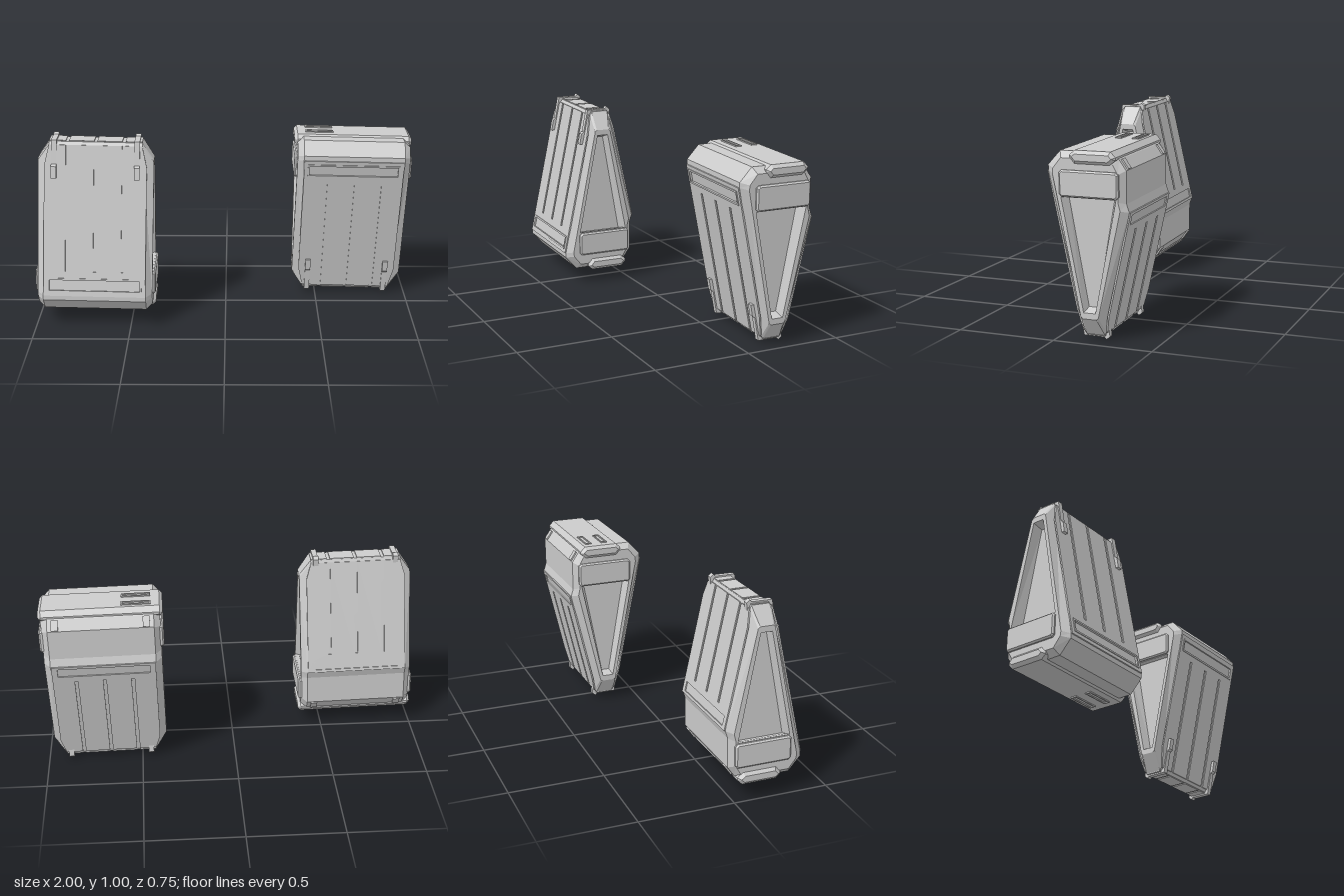
import * as THREE from 'three';

const grey = new THREE.MeshStandardMaterial({ color: 0xcccccc, flatShading: true });

// Side outlines as [z, y], counter-clockwise
const outer = [[0.31, 0.095], [0.373, 0.165], [0.373, 0.19], [0.211, 0.965], [0.2, 0.98], [0.107, 0.98],
  [0.1, 0.965], [-0.033, 0.37], [-0.02, 0.33], [-0.02, 0.175], [0.015, 0.125], [0.05, 0.095]];
const inner = [[0.295, 0.125], [0.335, 0.175], [0.338, 0.2], [0.205, 0.88], [0.195, 0.89], [0.125, 0.89],
  [0.115, 0.88], [0, 0.36], [0.01, 0.32], [0.01, 0.19], [0.035, 0.145], [0.065, 0.125]];
const windowRim = [[0.297, 0.31], [0.19, 0.86], [0.13, 0.86], [0.02, 0.31]];
const windowFloor = [[0.28, 0.3], [0.182, 0.842], [0.14, 0.842], [0.043, 0.3]];

const shapeOf = (pts) => new THREE.Shape(pts.map(([a, b]) => new THREE.Vector2(a, b)));
const rect = (x0, y0, x1, y1) => [[x0, y0], [x1, y0], [x1, y1], [x0, y1]];

function add(parent, name, geometry) {
  const mesh = new THREE.Mesh(geometry, grey);
  mesh.name = name;
  parent.add(mesh);
  return mesh;
}

// Skin between closed rings of [x, y, z] points; faces outward when the rings run towards -x
function loft(rings) {
  const n = rings[0].length, pos = rings.flat(2), idx = [];
  for (let r = 0; r < rings.length - 1; r++) {
    for (let i = 0; i < n; i++) {
      const a = r * n + i, b = r * n + (i + 1) % n;
      idx.push(a, b, a + n, b, b + n, a + n);
    }
  }
  const g = new THREE.BufferGeometry();
  g.setAttribute('position', new THREE.Float32BufferAttribute(pos, 3));
  g.setIndex(idx);
  const flat = g.toNonIndexed();
  flat.computeVertexNormals();
  return flat;
}

const ring = (pts, x) => pts.map(([z, y], i) => [typeof x === 'function' ? x(i) : x, y, z]);

// Flat cap at x, facing -x
function cap(pts, x, hole) {
  const s = shapeOf(pts);
  if (hole) s.holes.push(shapeOf(hole));
  return new THREE.ShapeGeometry(s).rotateY(-Math.PI / 2).translate(x, 0, 0);
}

// Side outline extruded from x0 to x1 with chamfered ends
function prism(pts, x0, x1, bevel = 0) {
  return new THREE.ExtrudeGeometry(shapeOf(pts), {
    depth: x1 - x0 - 2 * bevel, bevelEnabled: bevel > 0, bevelSize: bevel, bevelOffset: -bevel,
    bevelThickness: bevel, bevelSegments: 1,
  }).rotateY(-Math.PI / 2).translate(x1 - bevel, 0, 0);
}

// Cover sheet running from p to q, with three grooves and one slot
function sheet(p, q, front, slot, grooveStart) {
  const dir = new THREE.Vector3(0, q[1] - p[1], q[0] - p[0]);
  const len = dir.length(), w = 0.265, top = 0.24, g = 0.008;
  const pts = [[-w, 0], [w, 0], [w, len * 0.86], [top, len]];
  for (const x of [0.145, 0, -0.145]) {
    pts.push([x + g, len], [x + g, grooveStart], [x - g, grooveStart], [x - g, len]);
  }
  pts.push([-top, len], [-w, len * 0.86]);
  const s = shapeOf(pts);
  s.holes.push(shapeOf(rect(-0.235, slot[0], 0.235, slot[1])));
  const geo = new THREE.ExtrudeGeometry(s, { depth: 0.008, bevelEnabled: false });
  const xAxis = new THREE.Vector3(front ? 1 : -1, 0, 0);
  dir.normalize();
  const m = new THREE.Matrix4().makeBasis(xAxis, dir, new THREE.Vector3().crossVectors(xAxis, dir));
  return geo.translate(0, 0, -0.002).applyMatrix4(m.setPosition(0, p[1], p[0]));
}

// Thin rectangular border lying on a plane facing +z
function border(w, h, t, depth) {
  const s = shapeOf(rect(-w / 2, -h / 2, w / 2, h / 2));
  s.holes.push(shapeOf(rect(-w / 2 + t, -h / 2 + t, w / 2 - t, h / 2 - t)));
  return new THREE.ExtrudeGeometry(s, { depth, bevelEnabled: false });
}

function createWedge() {
  const wedge = new THREE.Group();

  // Shell: middle band, then mirrored chamfers and recessed side windows
  const edgeX = (i) => (i >= 3 && i <= 6 ? 0.24 : 0.268);
  add(wedge, 'shell', loft([ring(outer, edgeX), ring(outer, (i) => -edgeX(i))]));
  for (const side of [-1, 1]) {
    const end = new THREE.Group();
    end.name = side > 0 ? 'leftEnd' : 'rightEnd';
    end.scale.x = -side;
    wedge.add(end);
    add(end, 'endChamfer', loft([ring(outer, (i) => -edgeX(i)), ring(inner, -0.3)]));
    add(end, 'endFrame', cap(inner, -0.3, windowRim));
    add(end, 'windowWall', loft([ring(windowRim, -0.3), ring(windowFloor, -0.25)]));
    add(end, 'windowFloor', cap(windowFloor, -0.25));
    add(end, 'sidePanel', prism([[0.29, 0.18], [0.302, 0.192], [0.302, 0.295], [0.29, 0.307],
      [0.017, 0.307], [0.005, 0.295], [0.005, 0.192], [0.017, 0.18]], -0.315, -0.27, 0.008));

    // Clip hooked over the narrow edge
    add(end, 'clip', prism([[0.235, 0.8], [0.268, 0.8], [0.257, 0.86], [0.243, 0.87], [0.22, 0.992],
      [0.115, 0.993], [0.105, 1.004], [0.087, 0.99], [0.091, 0.95], [0.2, 0.95]], -0.228, -0.2));

    // Tab on the rear chamfer of the wide end
    const tab = add(end, 'rearTab', new THREE.BoxGeometry(0.035, 0.055, 0.016));
    tab.position.set(-0.23, 0.15, -0.002);
    tab.rotation.x = -0.61;
  }

  // Grooved covers
  add(wedge, 'frontSheet', sheet([0.373, 0.19], [0.211, 0.965], true, [0.025, 0.09], 0.13));
  add(wedge, 'backSheet', sheet([-0.033, 0.37], [0.1, 0.965], false, [0.015, 0.065], 0.1));
  for (const [x, w] of [[-0.197, 0.086], [-0.0725, 0.129], [0.0725, 0.129], [0.197, 0.086]]) {
    add(wedge, 'edgeStrip', new THREE.BoxGeometry(w, 0.008, 0.09)).position.set(x, 0.981, 0.153);
  }
  const slotBorder = add(wedge, 'frontSlotBorder', border(0.49, 0.075, 0.01, 0.01));
  slotBorder.position.set(0, 0.246, 0.361);
  slotBorder.rotation.x = -0.206;

  // Wide base pad with two small slots
  add(wedge, 'basePad', prism([[0.225, 0.086], [0.25, 0.108], [0.25, 0.12], [0.225, 0.15], [0.05, 0.15],
    [0.02, 0.125], [0.02, 0.112], [0.045, 0.086]], -0.315, 0.315, 0.016));
  for (const z of [0.08, 0.17]) {
    const slot = add(wedge, 'baseSlot', border(0.15, 0.034, 0.007, 0.008));
    slot.rotation.x = Math.PI / 2;
    slot.position.set(0.18, 0.088, z);
  }
  return wedge;
}

export function createModel() {
  const model = new THREE.Group();
  const middle = 0.5075, tilt = -0.022;
  for (const upright of [true, false]) {
    const holder = new THREE.Group();
    holder.name = upright ? 'uprightWedge' : 'invertedWedge';
    const wedge = createWedge();
    wedge.position.y = -middle;
    holder.add(wedge);
    holder.rotation.z = tilt + (upright ? 0 : Math.PI);
    holder.position.set(upright ? -0.677 : 0.677, middle, upright ? 0 : -0.335);
    model.add(holder);
  }
  return model;
}
